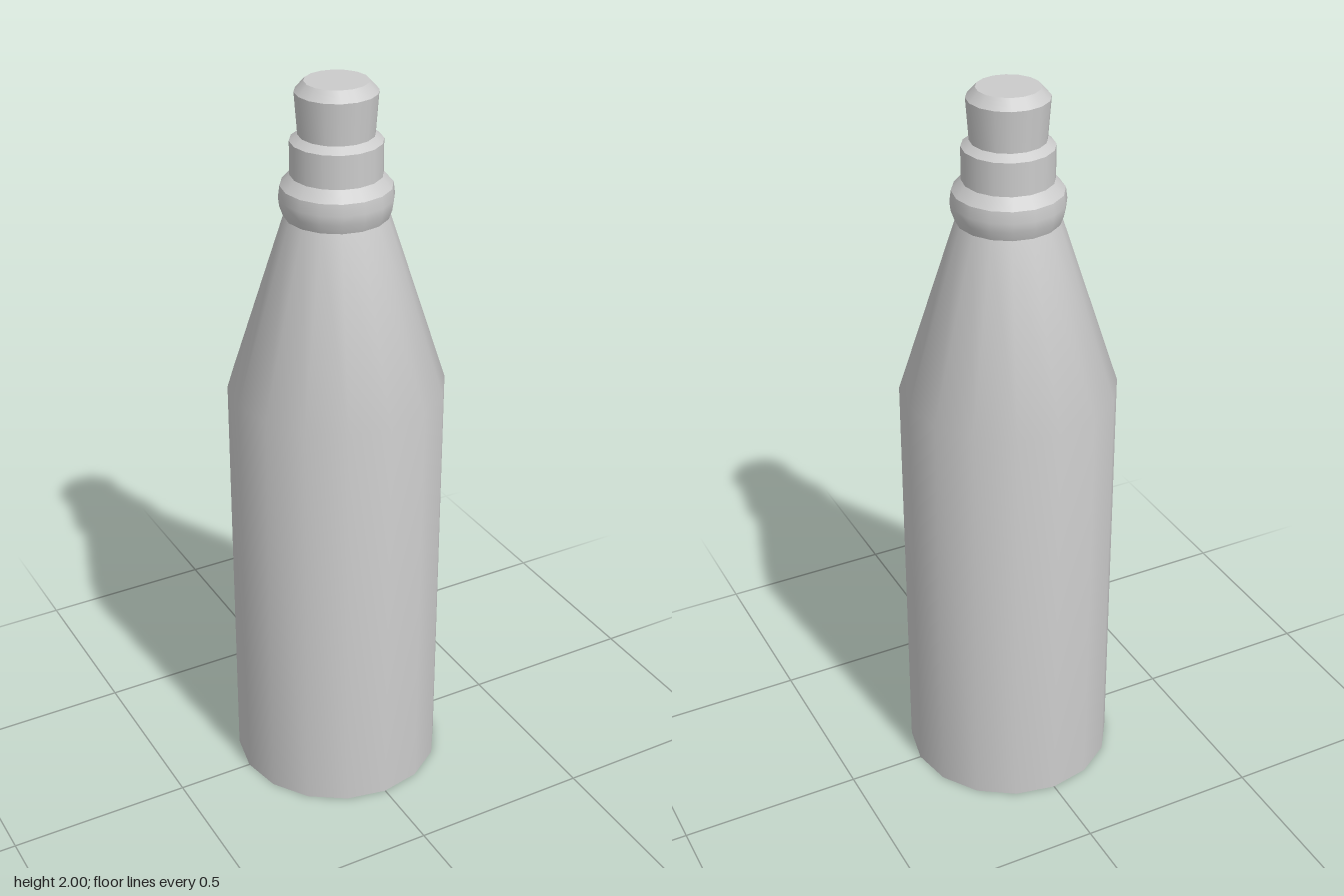
import * as THREE from 'three';

const SIDES = 16;
const material = new THREE.MeshStandardMaterial({ color: 0xcccccc });

// Revolved part: each profile (listed bottom to top) is smooth in itself,
// with a sharp edge where one profile meets the next.
function turned(name, ...profiles) {
  const part = new THREE.Group();
  part.name = name;
  profiles.forEach((profile, i) => {
    const points = profile.map(([r, y]) => new THREE.Vector2(r, y));
    const mesh = new THREE.Mesh(new THREE.LatheGeometry(points, SIDES), material);
    mesh.name = `${name}Surface${i + 1}`;
    part.add(mesh);
  });
  return part;
}

export function createModel() {
  const bottle = new THREE.Group();
  bottle.name = 'bottle';
  bottle.add(
    // flat base, straight wall and tapering shoulder
    turned('body',
      [[0, 0], [0.288, 0]],
      [[0.288, 0], [0.288, 1.18], [0.135, 1.655]]),
    // rounded collar with a sloping top
    turned('collar',
      [[0.135, 1.655], [0.144, 1.68], [0.147, 1.705], [0.143, 1.735]],
      [[0.143, 1.735], [0.118, 1.763]]),
    // stepped ring above the collar
    turned('neckRing',
      [[0.118, 1.763], [0.118, 1.85]],
      [[0.118, 1.85], [0.097, 1.866]]),
    // slightly flared stopper with a bevelled rim and flat top
    turned('stopper',
      [[0.097, 1.866], [0.105, 1.974]],
      [[0.105, 1.974], [0.081, 2]],
      [[0.081, 2], [0, 2]]),
  );
  return bottle;
}
